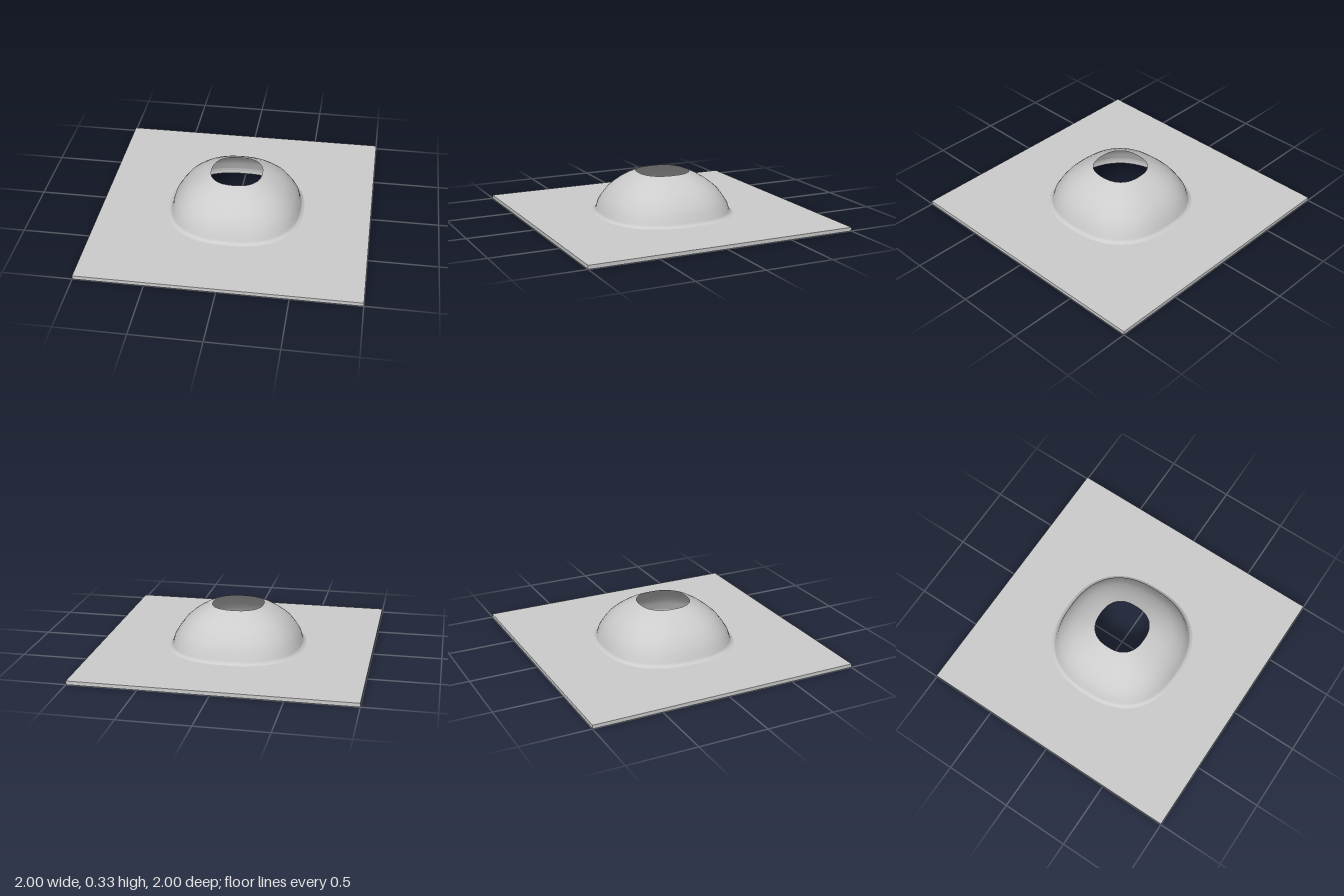
import * as THREE from 'three';
import { mergeVertices } from 'three/addons/utils/BufferGeometryUtils.js';

const THICK = 0.027;
const SEGMENTS = 64;

// Rounded-square radius factor: 1 on the axes, about 1.06 on the diagonals
const squircle = (a) => {
  const n = 2.4;
  return Math.pow(Math.abs(Math.cos(a)) ** n + Math.abs(Math.sin(a)) ** n, -1 / n);
};

// Lathe a profile, then swell it to the rounded-square plan with smooth normals
function shell(profile) {
  let geo = new THREE.LatheGeometry(profile.map(([r, y]) => new THREE.Vector2(r, y)), SEGMENTS);
  const p = geo.attributes.position;
  for (let i = 0; i < p.count; i++) {
    const k = squircle(Math.atan2(p.getZ(i), p.getX(i)));
    p.setXYZ(i, p.getX(i) * k, p.getY(i), p.getZ(i) * k);
  }
  geo.deleteAttribute('uv');
  geo.deleteAttribute('normal');
  geo = mergeVertices(geo, 1e-5);
  geo.computeVertexNormals();
  return geo;
}

export function createModel() {
  const model = new THREE.Group();
  const grey = new THREE.MeshStandardMaterial({ color: 0xcccccc, side: THREE.DoubleSide });
  grey.name = 'plain grey';
  const add = (name, geo) => {
    const mesh = new THREE.Mesh(geo, grey);
    mesh.name = name;
    model.add(mesh);
    return mesh;
  };

  // Square base plate with an opening under the dome
  const square = new THREE.Shape();
  square.moveTo(-1, -1).lineTo(1, -1).lineTo(1, 1).lineTo(-1, 1).closePath();
  const ring = [];
  for (let i = 0; i < SEGMENTS; i++) {
    const a = (-i / SEGMENTS) * Math.PI * 2;
    const r = 0.48 * squircle(a);
    ring.push(new THREE.Vector2(Math.cos(a) * r, Math.sin(a) * r));
  }
  square.holes.push(new THREE.Path(ring));
  const plate = new THREE.ExtrudeGeometry(square, { depth: THICK, bevelEnabled: false });
  plate.rotateX(-Math.PI / 2);
  add('basePlate', plate);

  // Open-topped dome with a small flare at its foot
  add('dome', shell([
    [0.505, THICK], [0.488, 0.036], [0.477, 0.05], [0.463, 0.1], [0.432, 0.15],
    [0.395, 0.2], [0.355, 0.236], [0.31, 0.27], [0.25, 0.306], [0.188, 0.333],
  ]));

  // Inner lining joining the plate opening to the dome wall
  add('innerLining', shell([[0.48, THICK], [0.476, 0.05]]));

  return model;
}
